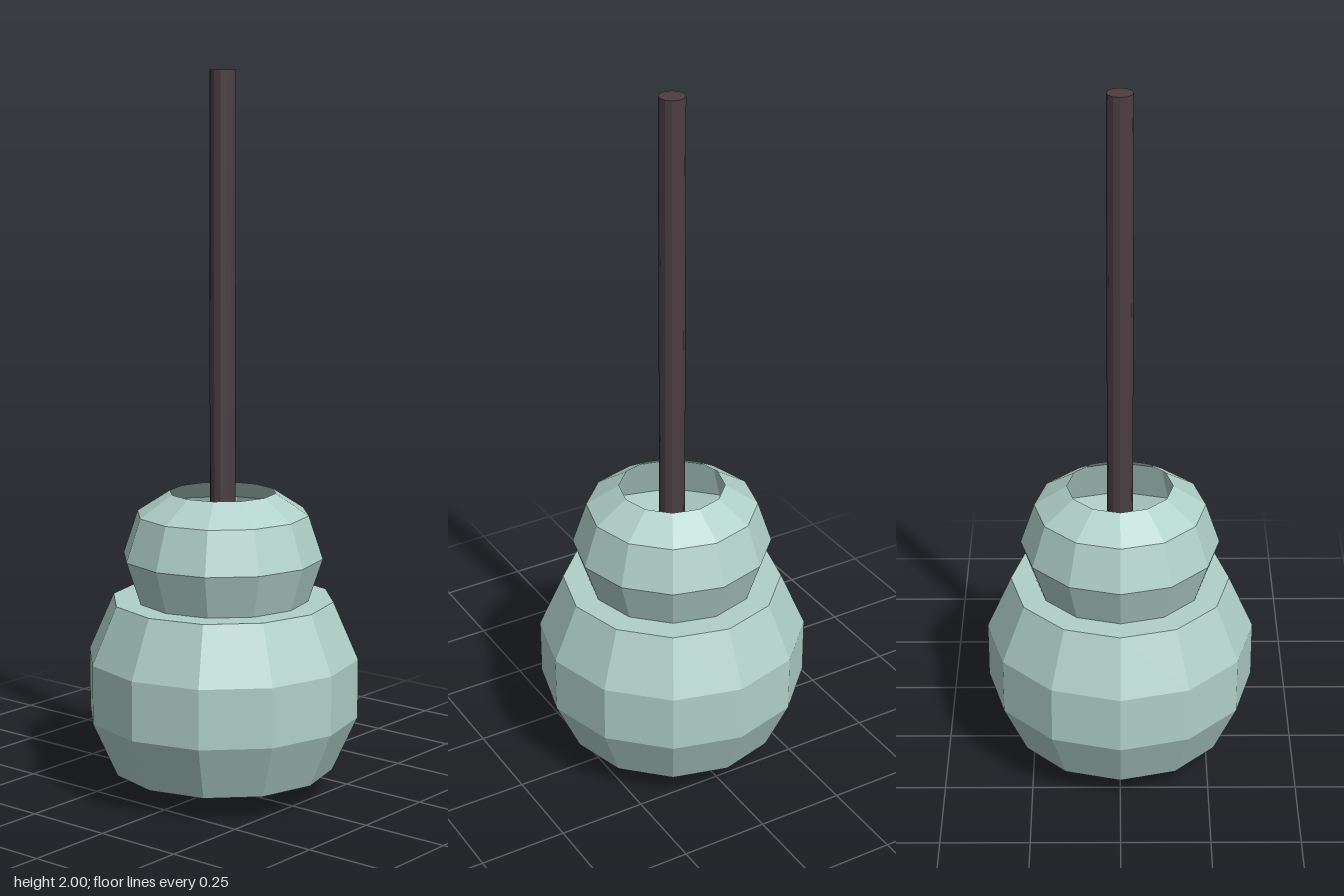
import * as THREE from 'three';

const SIDES = 12;

function flat(name, color, side = THREE.FrontSide) {
  const m = new THREE.MeshStandardMaterial({ color, flatShading: true, side });
  m.name = name;
  return m;
}

export function createModel() {
  const group = new THREE.Group();
  group.name = 'pendantLamp';
  const glaze = flat('pale teal', 0xb0d0c8, THREE.DoubleSide);
  const dark = flat('dark brown', 0x4a3e43);
  const gold = flat('warm gold', 0xc8a253);

  const add = (name, geometry, material, y = 0) => {
    const mesh = new THREE.Mesh(geometry, material);
    mesh.name = name;
    mesh.position.y = y;
    group.add(mesh);
  };
  const lathe = (profile) =>
    new THREE.LatheGeometry(profile.map(([r, y]) => new THREE.Vector2(r, y)), SIDES);

  // Hollow shade: inner ceiling and wall, bottom rim, outer wall, flat shoulder
  add('shade', lathe([
    [0, 0.5], [0.27, 0.5], [0.33, 0.39], [0.33, 0.225], [0.26, 0.07],
    [0.31, 0.07], [0.38, 0.225], [0.38, 0.39], [0.31, 0.55], [0, 0.55],
  ]), glaze);

  // Thin upper collar, open at the top
  add('collar', lathe([[0.24, 0.55], [0.28, 0.67], [0.24, 0.79], [0.148, 0.85]]), glaze);

  // Hanging rod, running down through the collar to the bulb
  const rodBottom = 0.3;
  add('rod', new THREE.CylinderGeometry(0.036, 0.036, 2 - rodBottom, SIDES), dark, (2 + rodBottom) / 2);

  // Faceted bulb
  add('bulb', new THREE.SphereGeometry(0.17, SIDES, 8), gold, 0.17);

  return group;
}
